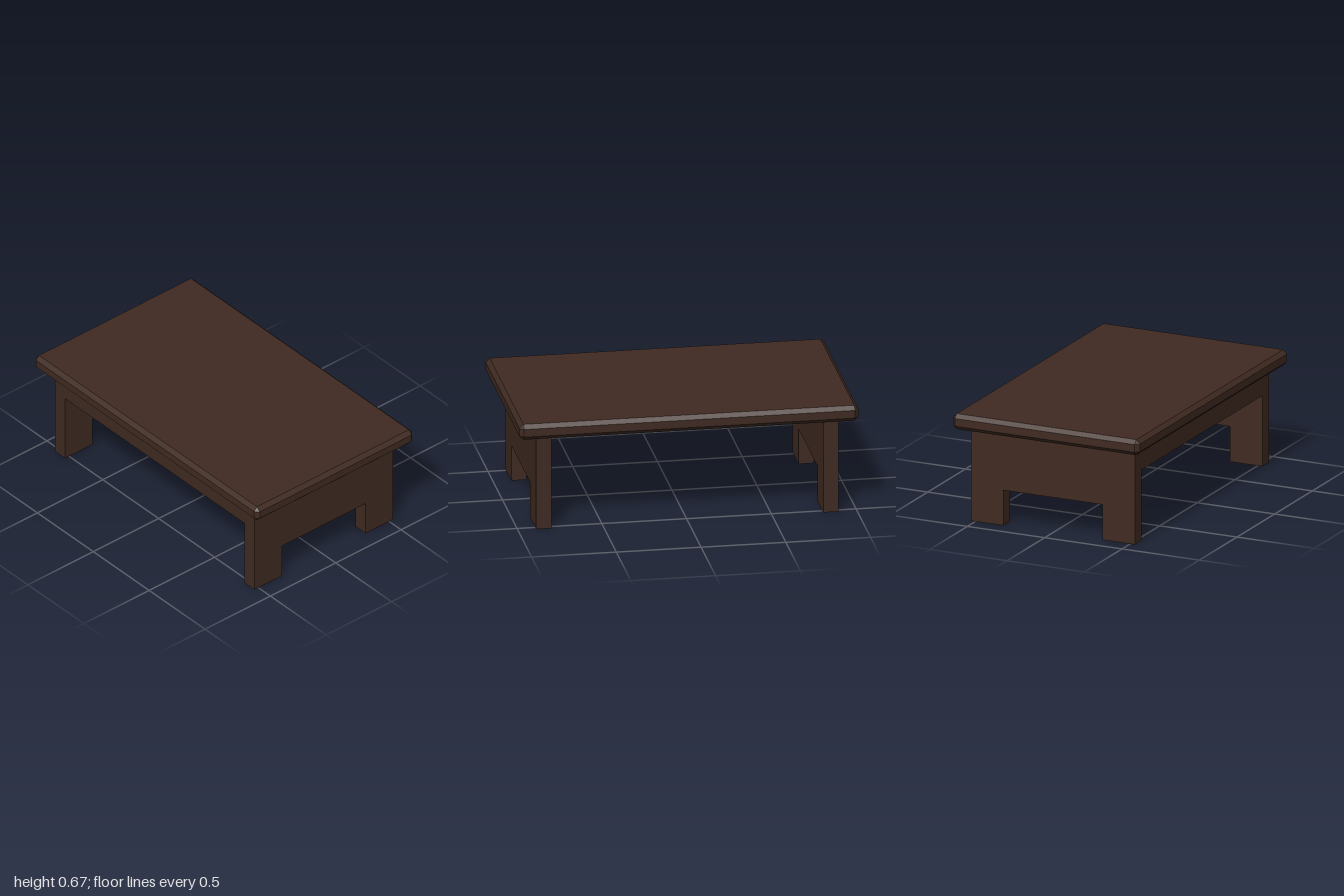
import * as THREE from 'three';
import { ConvexGeometry } from 'three/addons/geometries/ConvexGeometry.js';

// Box with every edge and corner cut by a single flat bevel
function beveledBox(w, h, d, b) {
  const points = [];
  for (const sx of [-1, 1]) for (const sy of [-1, 1]) for (const sz of [-1, 1]) {
    const [x, y, z] = [w / 2, h / 2, d / 2];
    points.push(
      new THREE.Vector3(sx * x, sy * (y - b), sz * (z - b)),
      new THREE.Vector3(sx * (x - b), sy * y, sz * (z - b)),
      new THREE.Vector3(sx * (x - b), sy * (y - b), sz * z),
    );
  }
  return new ConvexGeometry(points);
}

export function createModel() {
  const table = new THREE.Group();
  table.name = 'lowTable';
  const darkWood = new THREE.MeshStandardMaterial({ color: 0x3f2a21 });
  darkWood.name = 'darkWood';

  const add = (name, geometry, x, y, z) => {
    const mesh = new THREE.Mesh(geometry, darkWood);
    mesh.name = name;
    mesh.position.set(x, y, z);
    table.add(mesh);
    return mesh;
  };

  // Tabletop with beveled edges
  const top = 0.67, underside = 0.575;
  add('tabletop', beveledBox(2, top - underside, 1.21, 0.024), 0, (top + underside) / 2, 0);

  // End panels, each cut out below to leave two feet
  const outline = [
    [-0.53, 0], [-0.32, 0], [-0.32, 0.215], [0.32, 0.215],
    [0.32, 0], [0.53, 0], [0.53, underside], [-0.53, underside],
  ].map(([z, y]) => new THREE.Vector2(z, y));
  const thickness = 0.09;
  const panel = new THREE.ExtrudeGeometry(new THREE.Shape(outline), { depth: thickness, bevelEnabled: false });
  panel.translate(0, 0, -thickness / 2);
  panel.rotateY(Math.PI / 2);
  for (const side of [-1, 1]) {
    add(side > 0 ? 'leftEndPanel' : 'rightEndPanel', panel, side * 0.847, 0, 0);
  }

  // Apron along the front only, flush with the panels
  const apronBottom = 0.43, apronDepth = 0.055;
  add('frontApron', new THREE.BoxGeometry(1.61, underside - apronBottom, apronDepth),
    0, (underside + apronBottom) / 2, 0.53 - apronDepth / 2);

  return table;
}
